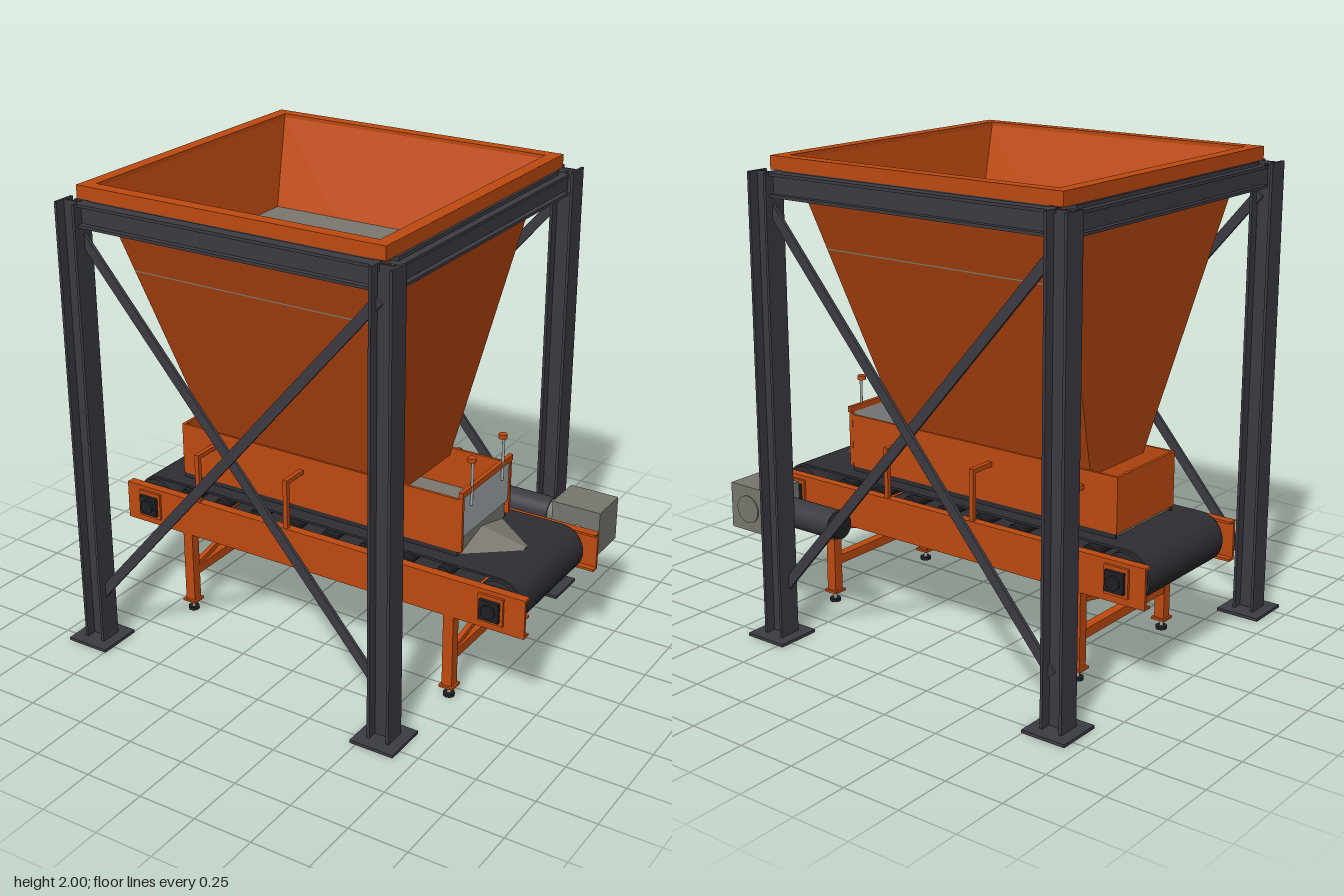
import * as THREE from 'three';

const mat = (name, color, side = THREE.FrontSide) => {
  const m = new THREE.MeshStandardMaterial({ color, side });
  m.name = name;
  return m;
};

export function createModel() {
  const orange = mat('orange paint', 0xbf4a10, THREE.DoubleSide);
  const dark = mat('dark frame steel', 0x3c3b43);
  const rubber = mat('belt rubber', 0x2d2d33);
  const black = mat('bearing black', 0x1f2024);
  const ore = mat('bulk material', 0x7a7870);
  const grey = mat('drive grey', 0x77776f);
  const steel = mat('bare steel', 0xa4a8ab);

  const model = new THREE.Group();
  model.name = 'hopperFeeder';
  const group = (name) => {
    const g = new THREE.Group();
    g.name = name;
    model.add(g);
    return g;
  };
  const add = (parent, name, geo, material) => {
    const m = new THREE.Mesh(geo, material);
    m.name = name;
    parent.add(m);
    return m;
  };
  // Box given by its limits on each axis
  const box = (p, name, material, x0, x1, y0, y1, z0, z1) => {
    const m = add(p, name, new THREE.BoxGeometry(x1 - x0, y1 - y0, z1 - z0), material);
    m.position.set((x0 + x1) / 2, (y0 + y1) / 2, (z0 + z1) / 2);
    return m;
  };
  // Cylinder along a chosen axis
  const rod = (p, name, material, r, len, axis, x, y, z, sides = 24) => {
    const m = add(p, name, new THREE.CylinderGeometry(r, r, len, sides), material);
    if (axis === 'x') m.rotation.z = Math.PI / 2;
    if (axis === 'z') m.rotation.x = Math.PI / 2;
    m.position.set(x, y, z);
    return m;
  };
  // Four sloping faces between two level rectangles [halfX, y, halfZ], open at both ends
  const funnel = (cx, top, bottom) => {
    const ring = ([hx, y, hz]) => [[cx - hx, y, hz], [cx + hx, y, hz], [cx + hx, y, -hz], [cx - hx, y, -hz]];
    const a = ring(bottom), b = ring(top), pos = [];
    for (let i = 0; i < 4; i++) {
      const j = (i + 1) % 4;
      pos.push(...a[i], ...a[j], ...b[j], ...a[i], ...b[j], ...b[i]);
    }
    const g = new THREE.BufferGeometry();
    g.setAttribute('position', new THREE.Float32BufferAttribute(pos, 3));
    g.computeVertexNormals();
    return g;
  };
  const CX = -0.138;
  const SIDES = [-1, 1];
  const COLS = [-0.843, 0.57];

  // Support frame: H columns on base plates
  const frame = group('supportFrame');
  for (const x of COLS) for (const s of SIDES) {
    const z = s * 0.707;
    box(frame, 'basePlate', dark, x - 0.097, x + 0.097, 0, 0.013, z - 0.097, z + 0.097);
    for (const t of SIDES) {
      const f = x + t * 0.043;
      box(frame, 'columnFlange', dark, f - 0.006, f + 0.006, 0.013, 1.94, z - 0.048, z + 0.048);
    }
    box(frame, 'columnWeb', dark, x - 0.038, x + 0.038, 0.013, 1.94, z - 0.005, z + 0.005);
  }
  // Top beams, I sections
  for (const s of SIDES) {
    const z = s * 0.707;
    box(frame, 'longBeamWeb', dark, COLS[0] + 0.03, COLS[1] - 0.03, 1.845, 1.94, z - 0.006, z + 0.006);
    for (const y of [1.845, 1.928])
      box(frame, 'longBeamFlange', dark, COLS[0] + 0.045, COLS[1] - 0.045, y, y + 0.012, z - 0.03, z + 0.03);
  }
  for (const x of COLS) {
    box(frame, 'crossBeamWeb', dark, x - 0.006, x + 0.006, 1.845, 1.93, -0.7, 0.7);
    for (const y of [1.84, 1.918])
      box(frame, 'crossBeamFlange', dark, x - 0.028, x + 0.028, y, y + 0.012, -0.665, 0.665);
  }
  // X bracing on front and back
  const braceLen = Math.hypot(1.36, 1.59);
  for (const s of SIDES) for (const t of SIDES) {
    const b = add(frame, 'brace', new THREE.BoxGeometry(braceLen, 0.042, 0.014), dark);
    b.position.set(CX, 1.015, s * (0.707 + t * 0.008));
    b.rotation.z = t * Math.atan2(1.59, 1.36);
  }

  // Hopper with rim and contents
  const hopper = group('hopper');
  add(hopper, 'hopperWalls', funnel(CX, [0.638, 1.99, 0.64], [0.48, 0.8, 0.187]), orange);
  for (const s of SIDES) {
    box(hopper, 'rimLong', orange, -0.831, 0.555, 1.945, 2, s * 0.665 - 0.027, s * 0.665 + 0.027);
    const x = CX + s * 0.665;
    box(hopper, 'rimShort', orange, x - 0.028, x + 0.028, 1.945, 2, -0.638, 0.638);
    box(hopper, 'rimSeatLong', dark, -0.77, 0.5, 1.93, 1.945, s * 0.665 - 0.025, s * 0.665 + 0.025);
    const seat = CX + s * 0.68;
    box(hopper, 'rimSeatShort', dark, seat - 0.025, seat + 0.025, 1.925, 1.945, -0.63, 0.63);
  }
  box(hopper, 'hopperContents', ore, CX - 0.586, CX + 0.586, 1.612, 1.62, -0.498, 0.498);

  // Skirt box under the hopper
  const skirt = group('skirtBox');
  for (const s of SIDES) {
    box(skirt, 'skirtSide', orange, -0.755, 0.605, 0.598, 0.83, s * 0.2 - 0.006, s * 0.2 + 0.006);
    box(skirt, 'sealStrip', rubber, -0.75, 0.6, 0.576, 0.6, s * 0.2 - 0.005, s * 0.2 + 0.005);
    // Brackets holding the skirt to the rails
    for (const x of [-0.59, -0.14, 0.31]) {
      box(skirt, 'bracketPost', orange, x - 0.01, x + 0.01, 0.54, 0.77, s * 0.32 - 0.01, s * 0.32 + 0.01);
      box(skirt, 'bracketArm', orange, x - 0.01, x + 0.01, 0.75, 0.77, s * 0.257 - 0.053, s * 0.257 + 0.053);
    }
  }
  box(skirt, 'skirtEnd', orange, -0.755, -0.743, 0.598, 0.83, -0.2, 0.2);
  box(skirt, 'skirtContents', ore, -0.74, 0.6, 0.58, 0.66, -0.193, 0.193);

  // Sliding gate with screw rods
  const gate = group('gate');
  box(gate, 'gatePlate', steel, 0.606, 0.614, 0.66, 0.85, -0.194, 0.194);
  box(gate, 'gateBar', orange, 0.604, 0.622, 0.84, 0.865, -0.212, 0.212);
  for (const s of SIDES) {
    box(gate, 'gateGuide', orange, 0.602, 0.62, 0.6, 0.84, s * 0.2 - 0.007, s * 0.2 + 0.007);
    rod(gate, 'gateScrew', steel, 0.006, 0.19, 'y', 0.618, 0.875, s * 0.13, 12);
    rod(gate, 'gateKnob', orange, 0.018, 0.018, 'y', 0.614, 0.977, s * 0.13, 12);
  }

  // Heap leaving the gate, a tapering triangular section
  const heap = new THREE.BufferGeometry();
  const A = [0.6, 0.575, 0.19], B = [0.6, 0.625, 0], C = [0.6, 0.575, -0.19];
  const D = [0.8, 0.575, 0.03], E = [0.8, 0.584, 0], F = [0.8, 0.575, -0.03];
  heap.setAttribute('position', new THREE.Float32BufferAttribute(
    [A, D, E, A, E, B, B, E, F, B, F, C, D, F, E].flat(), 3));
  heap.computeVertexNormals();
  add(model, 'materialHeap', heap, ore);

  // Belt loop around two pulleys
  const conveyor = group('conveyor');
  const PY = 0.472, HEAD = 0.825, TAIL = -0.845;
  const loop = (Type, r) => {
    const p = new Type();
    p.absarc(HEAD, PY, r, -Math.PI / 2, Math.PI / 2, false);
    p.absarc(TAIL, PY, r, Math.PI / 2, Math.PI * 1.5, false);
    p.closePath();
    return p;
  };
  const beltShape = loop(THREE.Shape, 0.106);
  beltShape.holes.push(loop(THREE.Path, 0.096));
  const belt = add(conveyor, 'belt', new THREE.ExtrudeGeometry(beltShape,
    { depth: 0.54, bevelEnabled: false, curveSegments: 20 }), rubber);
  belt.position.z = -0.27;
  for (const x of [HEAD, TAIL]) {
    rod(conveyor, 'pulley', rubber, 0.097, 0.57, 'z', x, PY, 0, 32);
    rod(conveyor, 'pulleyShaft', steel, 0.02, 0.72, 'z', x, PY, 0);
    for (const s of SIDES) {
      box(conveyor, 'bearingPlate', orange, x - 0.055, x + 0.055, PY - 0.06, PY + 0.06, s * 0.338 - 0.006, s * 0.338 + 0.006);
      box(conveyor, 'bearingHousing', black, x - 0.043, x + 0.043, PY - 0.043, PY + 0.043, s * 0.35 - 0.009, s * 0.35 + 0.009);
      rod(conveyor, 'bearingCap', black, 0.03, 0.014, 'z', x, PY, s * 0.363);
    }
  }
  for (let i = 0; i < 8; i++)
    rod(conveyor, 'idlerRoller', black, 0.03, 0.58, 'z', -0.685 + i * 0.181, 0.536, 0, 18);

  // Side rails, channels opening inward
  for (const s of SIDES) {
    box(conveyor, 'railWeb', orange, -0.97, 0.97, 0.38, 0.55, s * 0.327 - 0.006, s * 0.327 + 0.006);
    for (const y of [0.38, 0.54])
      box(conveyor, 'railFlange', orange, -0.97, 0.97, y, y + 0.01, s * 0.311 - 0.017, s * 0.311 + 0.017);
  }

  // Leg frames with levelling feet
  for (const x of [-0.653, 0.635]) {
    const legs = group('legFrame');
    for (const s of SIDES) {
      const z = s * 0.308;
      box(legs, 'leg', orange, x - 0.023, x + 0.023, 0.05, 0.38, z - 0.022, z + 0.022);
      box(legs, 'footPlate', orange, x - 0.032, x + 0.032, 0.045, 0.055, z - 0.032, z + 0.032);
      rod(legs, 'footScrew', steel, 0.008, 0.045, 'y', x, 0.03, z, 12);
      rod(legs, 'footPad', black, 0.024, 0.014, 'y', x, 0.007, z, 16);
    }
    for (const y of [0.17, 0.34])
      box(legs, 'crossBar', orange, x - 0.02, x + 0.02, y, y + 0.04, -0.29, 0.29);
    const d = add(legs, 'diagonal', new THREE.BoxGeometry(0.022, 0.022, 0.6), orange);
    d.position.set(x, 0.272, 0);
    d.rotation.x = Math.atan2(0.13, 0.58);
  }

  // Drive: gearbox and motor beside the head pulley
  const drive = group('drive');
  rod(drive, 'driveShaft', steel, 0.021, 0.14, 'z', HEAD, PY, -0.39);
  box(drive, 'gearbox', grey, 0.702, 0.922, 0.375, 0.572, -0.625, -0.443);
  rod(drive, 'gearboxCover', grey, 0.06, 0.006, 'z', HEAD, PY, -0.627, 32);
  rod(drive, 'motorFlange', grey, 0.056, 0.045, 'x', 0.68, PY, -0.535, 32);
  rod(drive, 'motor', dark, 0.062, 0.26, 'x', 0.53, PY, -0.535, 32);
  rod(drive, 'motorFanCover', black, 0.054, 0.03, 'x', 0.387, PY, -0.535, 32);

  return model;
}
